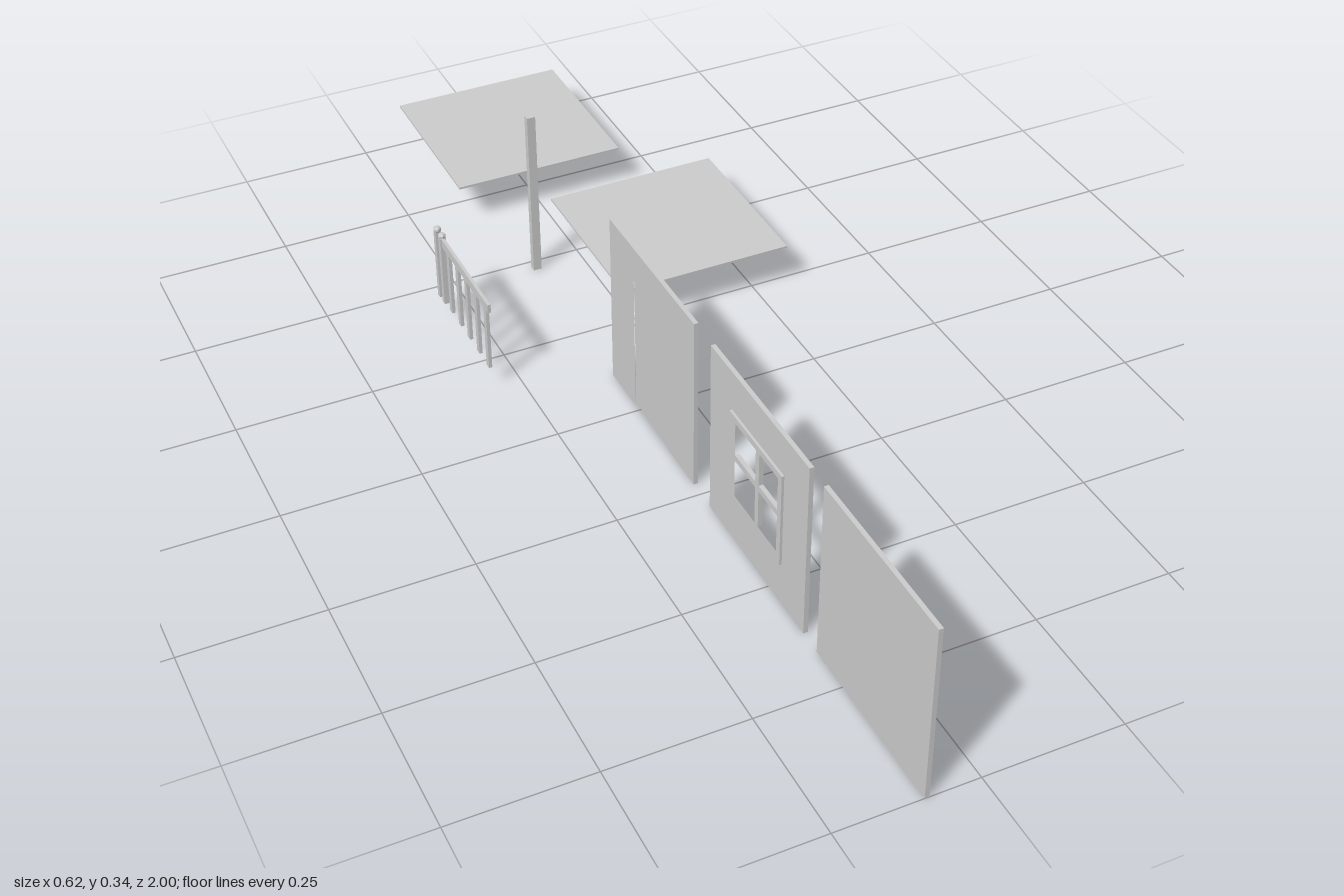
import * as THREE from 'three';

const grey = new THREE.MeshStandardMaterial({ color: 0xcccccc, flatShading: true });
const H = 0.336, WALL_X = -0.092, WALL_T = 0.008, RAIL_X = -0.305;

function add(parent, name, geometry, x = 0, y = 0, z = 0) {
  const mesh = new THREE.Mesh(geometry, grey);
  mesh.name = name;
  mesh.position.set(x, y, z);
  parent.add(mesh);
  return mesh;
}

// box given by its centre x, width, and its y and z ranges
function box(parent, name, x, w, y0, y1, z0, z1) {
  return add(parent, name, new THREE.BoxGeometry(w, y1 - y0, z1 - z0), x, (y0 + y1) / 2, (z0 + z1) / 2);
}

function rectangle(Type, y0, y1, z0, z1) {
  const r = new Type();
  r.moveTo(-z0, y0).lineTo(-z1, y0).lineTo(-z1, y1).lineTo(-z0, y1).closePath();
  return r;
}

// upright panel in the yz plane with an optional rectangular opening
function panel(parent, name, thickness, outer, hole) {
  const shape = rectangle(THREE.Shape, ...outer);
  if (hole) shape.holes.push(rectangle(THREE.Path, ...hole));
  const g = new THREE.ExtrudeGeometry(shape, { depth: thickness, bevelEnabled: false });
  g.translate(0, 0, -thickness / 2).rotateY(Math.PI / 2);
  return add(parent, name, g, WALL_X);
}

export function createModel() {
  const model = new THREE.Group();
  model.name = 'buildingKit';

  // plain wall
  panel(model, 'plainWall', WALL_T, [0, H, 0.665, 1]);

  // wall with framed four-pane window
  const windowWall = new THREE.Group();
  windowWall.name = 'windowWall';
  const opening = [0.093, 0.25, 0.374, 0.53];
  panel(windowWall, 'wall', WALL_T, [0, H, 0.284, 0.62], opening);
  panel(windowWall, 'windowFrame', 0.017, [0.081, 0.262, 0.362, 0.542], opening);
  box(windowWall, 'verticalBar', WALL_X, 0.008, 0.093, 0.25, 0.446, 0.458);
  box(windowWall, 'horizontalBar', WALL_X, 0.008, 0.166, 0.178, 0.374, 0.53);
  model.add(windowWall);

  // wall with a slightly recessed door and a gap beneath it
  const doorWall = new THREE.Group();
  doorWall.name = 'doorWall';
  panel(doorWall, 'wall', WALL_T, [0, H, -0.112, 0.222], [0.0005, 0.268, -0.014, 0.12]);
  box(doorWall, 'door', WALL_X, 0.006, 0.006, 0.268, -0.014, 0.12);
  model.add(doorWall);

  // corner column
  box(model, 'column', WALL_X, 0.016, 0, H, -0.484, -0.471);

  // floor and ceiling slabs
  for (const [name, x, z] of [['floorSlab', 0.141, -0.389], ['ceilingSlab', -0.003, -0.833]])
    add(model, name, new THREE.BoxGeometry(0.334, 0.004, 0.334), x, 0.089, z);

  // railing: handrail, balusters and capped posts
  const railing = new THREE.Group();
  railing.name = 'railing';
  box(railing, 'handrail', RAIL_X, 0.006, 0.171, 0.188, -0.388, -0.16);
  for (const z of [-0.176, -0.222, -0.268, -0.312, -0.356])
    box(railing, 'baluster', RAIL_X, 0.006, 0.045, 0.173, z - 0.006, z + 0.006);
  const cap = new THREE.LatheGeometry(
    [[0, 0.186], [0.005, 0.186], [0.007, 0.189], [0.007, 0.193], [0.005, 0.196], [0, 0.197]]
      .map(([r, y]) => new THREE.Vector2(r, y)), 8);
  for (const z of [-0.388, -0.412]) {
    box(railing, 'post', RAIL_X, 0.011, 0.045, 0.188, z - 0.0055, z + 0.0055);
    add(railing, 'postCap', cap, RAIL_X, 0, z);
  }
  model.add(railing);

  return model;
}
